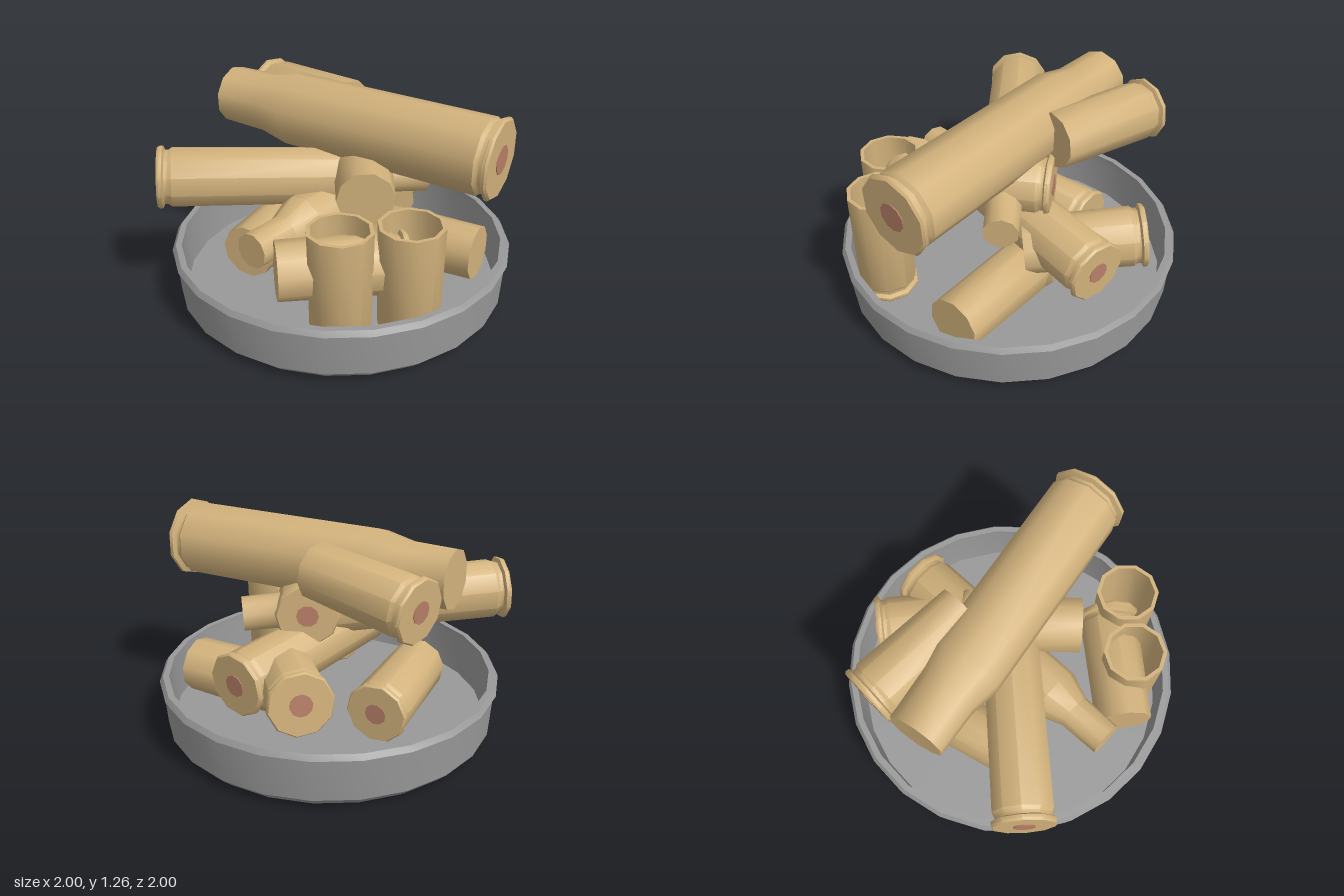
import * as THREE from 'three';
import { toCreasedNormals } from 'three/addons/utils/BufferGeometryUtils.js';

const brass = new THREE.MeshStandardMaterial({ color: 0xd2b27c });
const copper = new THREE.MeshStandardMaterial({ color: 0xb88068 });
const steel = new THREE.MeshStandardMaterial({ color: 0x999999 });

// Turned part from [radius, height] pairs, sharp at hard corners
function turned(points, sides, material, name) {
  const lathe = new THREE.LatheGeometry(points.map(([r, h]) => new THREE.Vector2(r, h)), sides);
  const mesh = new THREE.Mesh(toCreasedNormals(lathe, 0.7), material);
  mesh.name = name;
  return mesh;
}

// Rimmed base with an extractor groove, shared by all casings
const basePoints = (r) => [
  [0, 0], [r * 0.95, 0], [r, 0.012], [r, 0.03], [r * 0.87, 0.04], [r * 0.87, 0.06], [r * 0.95, 0.08],
];

// Straight casing with a closed mouth
const straightProfile = (length) => [...basePoints(0.18), [0.162, length], [0, length]];

// Bottleneck casing: body, shoulder, neck
const neckedProfile = (r, shoulder, neck) => (length) => [
  ...basePoints(r), [shoulder, length * 0.74], [neck * 1.05, length * 0.84], [neck, length], [0, length],
];

// Straight casing with a hollow mouth
const openProfile = (length) => [
  ...basePoints(0.18), [0.18, length], [0.158, length], [0.155, 0.1], [0, 0.1],
];

const rifle = neckedProfile(0.182, 0.165, 0.1);
const large = neckedProfile(0.23, 0.213, 0.165);

// Casing running from its base centre to its mouth centre
function casing(name, profile, base, mouth, primerRadius = 0.062) {
  const from = new THREE.Vector3(...base);
  const axis = new THREE.Vector3(...mouth).sub(from);
  const length = axis.length();
  const group = new THREE.Group();
  group.name = name;
  group.add(turned(profile(length), 10, brass, 'casingBody'));
  const primer = new THREE.Mesh(new THREE.CylinderGeometry(primerRadius, primerRadius, 0.01, 10), copper);
  primer.name = 'primer';
  group.add(primer);
  group.position.copy(from);
  group.quaternion.setFromUnitVectors(new THREE.Vector3(0, 1, 0), axis.normalize());
  return group;
}

export function createModel() {
  const model = new THREE.Group();
  model.name = 'dishOfCasings';

  // Shallow dish with a chamfered foot and lip
  model.add(turned([
    [0, 0], [0.91, 0], [0.97, 0.06], [0.985, 0.31], [1, 0.315], [0.98, 0.345],
    [0.945, 0.345], [0.945, 0.31], [0.925, 0.08], [0, 0.08],
  ], 24, steel, 'dish'));

  // Long bottleneck casings
  model.add(
    casing('largeCasing', large, [0.845, 1.015, -0.385], [-0.755, 1.06, 0.22], 0.082),
    casing('upperRifleCasing', rifle, [-0.545, 0.785, 0.885], [0.27, 0.7, -0.42]),
    casing('lowerRifleCasing', rifle, [-0.14, 0.52, -0.76], [0.145, 0.565, 0.735]),
  );

  // Short straight casings lying in the pile
  [
    ['upperLeftCasing', [-0.845, 1.0, -0.12], [-0.16, 1.04, -0.21]],
    ['middleCasing', [-0.14, 0.78, -0.27], [0.39, 0.77, 0.15]],
    ['frontCasing', [0.66, 0.5, 0.1], [0.31, 0.51, 0.7]],
    ['backCasing', [-0.54, 0.53, -0.63], [0.07, 0.46, -0.32]],
    ['floorFrontCasing', [-0.52, 0.27, -0.1], [-0.25, 0.28, 0.51]],
    ['floorBackCasing', [-0.02, 0.27, -0.27], [0.62, 0.28, -0.53]],
  ].forEach(([name, base, mouth]) => model.add(casing(name, straightProfile, base, mouth)));

  // Open casings standing on the dish floor
  [[0.74, 0.145], [0.545, 0.46]].forEach(([x, z], i) => {
    const standing = casing('standingCasing' + (i + 1), openProfile, [x, 0.08, z], [x, 0.775, z]);
    standing.rotateY(Math.PI / 10);
    model.add(standing);
  });

  return model;
}
